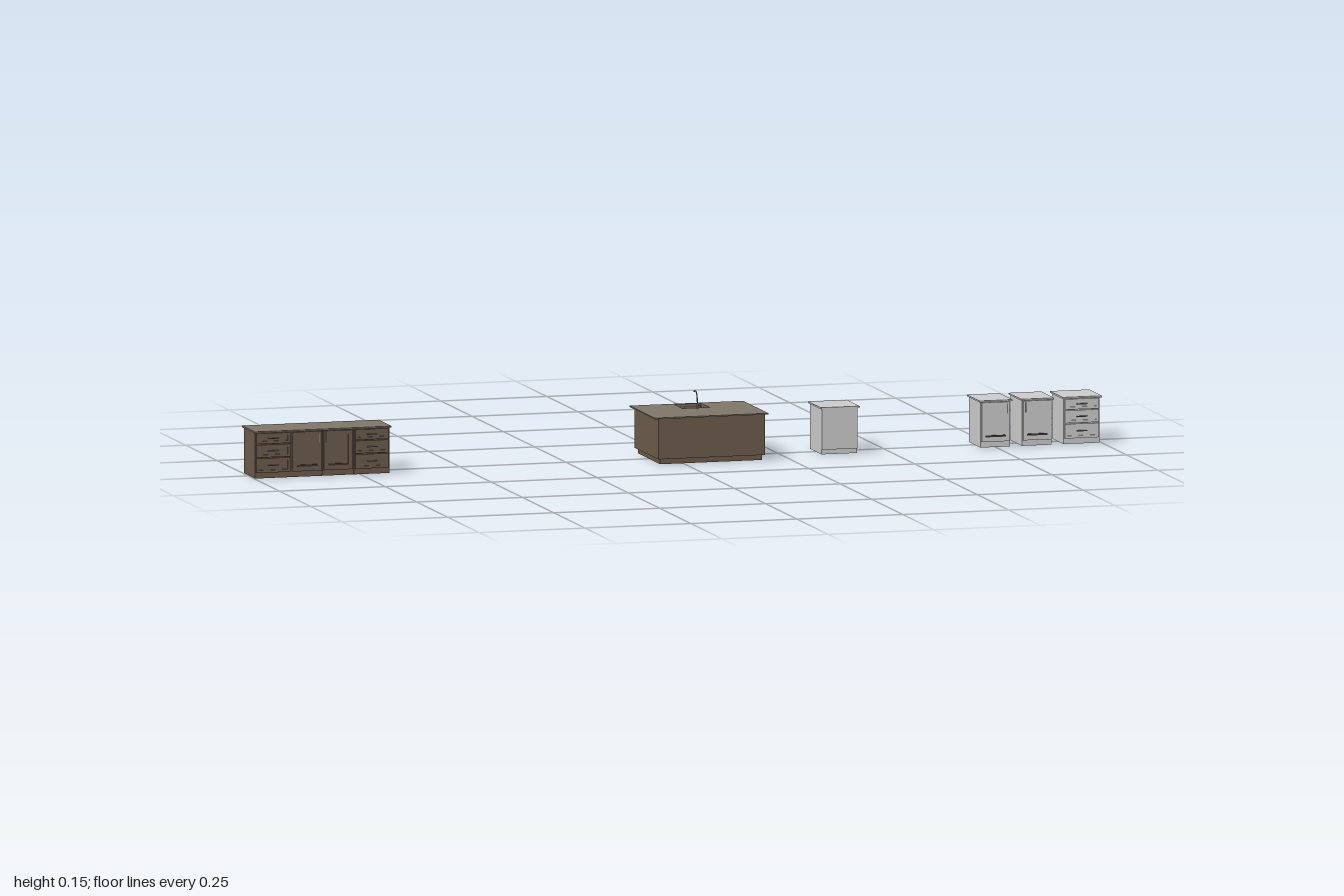
import * as THREE from 'three';

const mat = (name, color) => {
  const m = new THREE.MeshStandardMaterial({ color });
  m.name = name;
  return m;
};

export function createModel() {
  const wood = mat('brown wood', 0x6b5a4a);
  const stone = mat('stone counter', 0x80766a);
  const pale = mat('pale grey', 0xcccccc);
  const metal = mat('grey metal', 0x77777a);
  const dark = mat('dark handle', 0x3a342e);
  const root = new THREE.Group();
  root.name = 'kitchenSet';

  const mesh = (parent, name, geo, m) => {
    const o = new THREE.Mesh(geo, m);
    o.name = name;
    parent.add(o);
    return o;
  };
  // Box given by its minimum and maximum on each axis
  const box = (parent, name, m, x0, x1, y0, y1, z0, z1) => {
    const o = mesh(parent, name, new THREE.BoxGeometry(x1 - x0, y1 - y0, z1 - z0), m);
    o.position.set((x0 + x1) / 2, (y0 + y1) / 2, (z0 + z1) / 2);
    return o;
  };
  // Horizontal slab with a rectangular hole; bounds are [x0, x1, z0, z1]
  const slab = (parent, name, m, [x0, x1, z0, z1], [a0, a1, b0, b1], y0, y1) => {
    const corners = (p, q, r, s) => [[p, -s], [q, -s], [q, -r], [p, -r]].map(([x, y]) => new THREE.Vector2(x, y));
    const shape = new THREE.Shape(corners(x0, x1, z0, z1));
    shape.holes.push(new THREE.Path(corners(a0, a1, b0, b1).reverse()));
    const g = new THREE.ExtrudeGeometry(shape, { depth: y1 - y0, bevelEnabled: false });
    g.rotateX(-Math.PI / 2).translate(0, y0, 0);
    mesh(parent, name, g, m);
  };

  // Framed front with a recessed panel
  const framedFront = (parent, name, m, x0, x1, y0, y1, rail) => {
    const g = new THREE.Group();
    g.name = name;
    parent.add(g);
    box(g, 'panel', m, x0 + rail, x1 - rail, y0 + rail, y1 - rail, 0.046, 0.0475);
    for (const [a, b] of [[x0, x0 + rail], [x1 - rail, x1]]) box(g, 'stile', m, a, b, y0, y1, 0.046, 0.0505);
    for (const [a, b] of [[y0, y0 + rail], [y1 - rail, y1]]) box(g, 'rail', m, x0 + rail, x1 - rail, a, b, 0.046, 0.0505);
  };

  // Base cabinet: type is 'plain', 'drawers' or 'door'; side puts the knob left or right
  const cabinet = (name, m, x0, x1, type, side = 1) => {
    const g = new THREE.Group();
    g.name = name;
    root.add(g);
    box(g, 'carcass', m, x0, x1, 0.011, 0.1045, -0.0455, type === 'plain' ? 0.05 : 0.046);
    box(g, 'plinth', m, x0, x1, 0, 0.011, -0.0455, 0.046);
    const a = x0 + 0.002, b = x1 - 0.002, c = (a + b) / 2;
    if (type === 'drawers') {
      for (const [y0, y1] of [[0.013, 0.046], [0.048, 0.077], [0.079, 0.103]]) {
        framedFront(g, 'drawer', m, a, b, y0, y1, 0.006);
        const y = (y0 + y1) / 2;
        box(g, 'drawerHandle', metal, c - 0.012, c + 0.012, y - 0.001, y + 0.001, 0.0475, 0.053);
      }
    } else if (type === 'door') {
      framedFront(g, 'door', m, a, b, 0.013, 0.103, 0.011);
      box(g, 'lowerPull', dark, c - 0.024, c + 0.024, 0.0235, 0.0275, 0.047, 0.0508);
      const hx = side > 0 ? b - 0.006 : a + 0.006;
      box(g, 'doorHandle', metal, hx - 0.001, hx + 0.001, 0.077, 0.099, 0.0505, 0.053);
    }
    return g;
  };

  // Brown run under one counter
  cabinet('leftDrawerCabinet', wood, -0.997, -0.913, 'drawers');
  cabinet('leftDoorCabinet', wood, -0.912, -0.839, 'door', 1);
  cabinet('rightDoorCabinet', wood, -0.838, -0.765, 'door', -1);
  cabinet('rightDrawerCabinet', wood, -0.764, -0.68, 'drawers');
  box(root, 'runCounter', stone, -1, -0.677, 0.1045, 0.108, -0.05, 0.053);

  // Separate pale cabinets, each with its own top
  for (const [name, x0, x1, type, side] of [
    ['plainCabinet', 0.34, 0.424, 'plain', 1],
    ['paleDoorCabinetA', 0.715, 0.785, 'door', 1],
    ['paleDoorCabinetB', 0.813, 0.883, 'door', -1],
    ['paleDrawerCabinet', 0.911, 0.996, 'drawers', 1],
  ]) {
    const g = cabinet(name, pale, x0, x1, type, side);
    box(g, 'cabinetTop', pale, x0 - 0.004, x1 + 0.004, 0.1045, 0.108, -0.05, 0.053);
  }

  // Island with a sunken basin
  const island = new THREE.Group();
  island.name = 'island';
  root.add(island);
  const hole = [0.032, 0.096, -0.091, -0.025];
  box(island, 'islandPlinth', wood, -0.054, 0.186, 0, 0.012, -0.088, 0.09);
  box(island, 'islandBody', wood, -0.06, 0.192, 0.012, 0.075, -0.094, 0.095);
  slab(island, 'basinSurround', wood, [-0.06, 0.192, -0.094, 0.095], hole, 0.075, 0.105);
  slab(island, 'islandCounter', stone, [-0.07, 0.198, -0.101, 0.102], hole, 0.105, 0.108);

  // Gooseneck tap
  const tap = new THREE.Group();
  tap.name = 'tap';
  tap.position.set(0.064, 0.108, -0.013);
  island.add(tap);
  const path = new THREE.CatmullRomCurve3([[0, 0], [0.02, 0], [0.03, -0.003], [0.037, -0.009], [0.0385, -0.017], [0.036, -0.025]]
    .map(([y, z]) => new THREE.Vector3(0, y, z)));
  mesh(tap, 'spout', new THREE.TubeGeometry(path, 24, 0.0014, 10), metal);
  mesh(tap, 'tapBase', new THREE.CylinderGeometry(0.0022, 0.0026, 0.012, 12), metal).position.y = 0.006;
  const lever = mesh(tap, 'lever', new THREE.CylinderGeometry(0.0007, 0.0007, 0.008, 8), metal);
  lever.rotation.z = Math.PI / 2;
  lever.position.set(0.004, 0.008, 0);
  const tip = mesh(tap, 'spoutTip', new THREE.CylinderGeometry(0.0016, 0.0016, 0.002, 10), metal);
  tip.rotation.x = Math.PI / 2;
  tip.position.set(0, 0.036, -0.025);

  return root;
}
